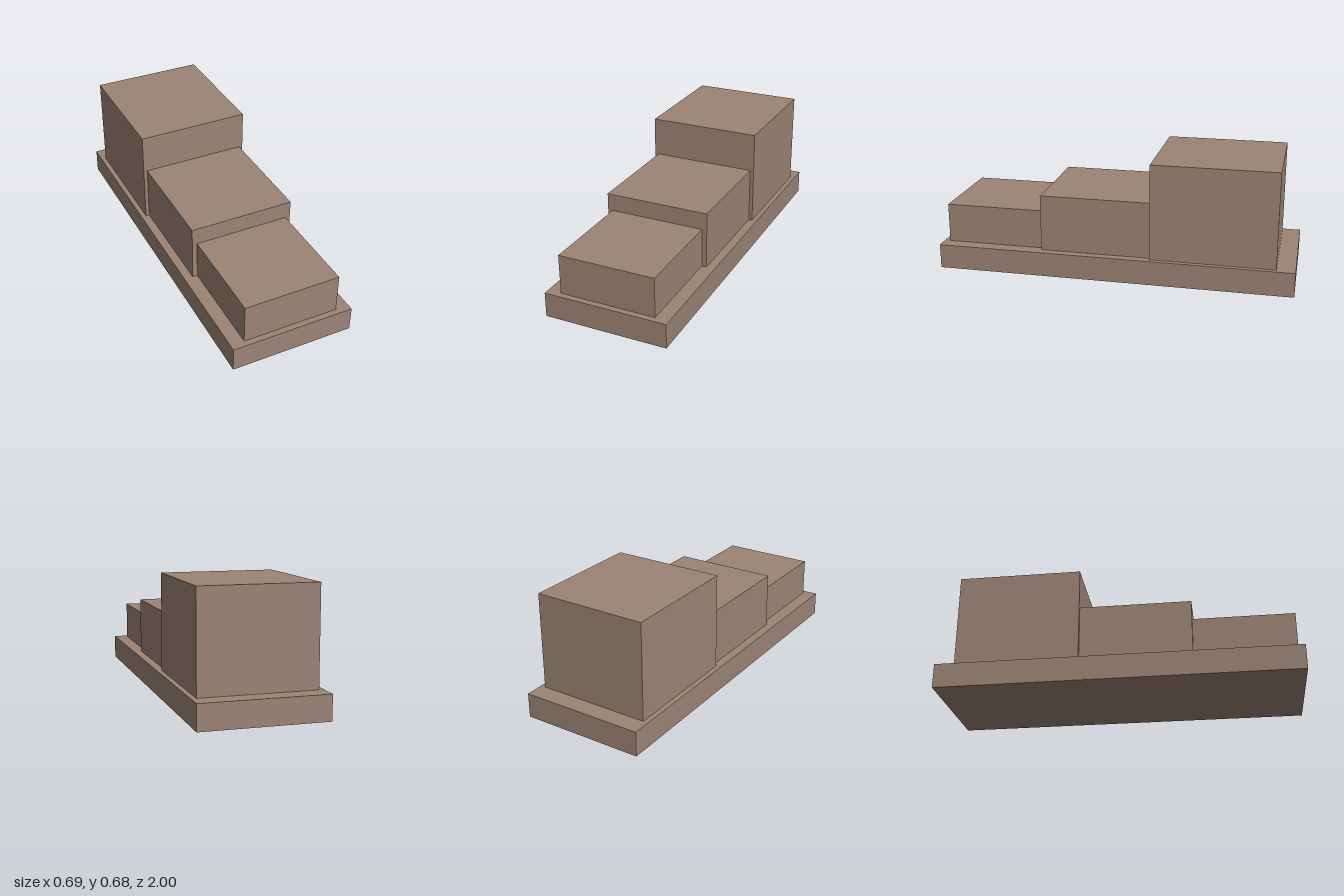
import * as THREE from 'three';

export function createModel() {
  const model = new THREE.Group();
  model.name = 'steppedBlocks';

  const clay = new THREE.MeshStandardMaterial({ color: 0x9c8475 });
  clay.name = 'clay brown';

  // Box given by its width and its y and z extents, centred on x = 0
  const block = (name, width, y0, y1, z0, z1) => {
    const mesh = new THREE.Mesh(new THREE.BoxGeometry(width, y1 - y0, z1 - z0), clay);
    mesh.name = name;
    mesh.position.set(0, (y0 + y1) / 2, (z0 + z1) / 2);
    model.add(mesh);
  };

  const deck = 0.138;

  // Long base slab
  block('base', 0.69, 0, deck, -1, 1);

  // Three blocks stepping up towards the back
  block('lowFrontBlock', 0.538, deck, 0.359, 0.411, 0.967);
  block('middleBlock', 0.593, deck, 0.456, -0.208, 0.411);
  block('tallBackBlock', 0.634, deck, 0.676, -0.898, -0.208);

  return model;
}
